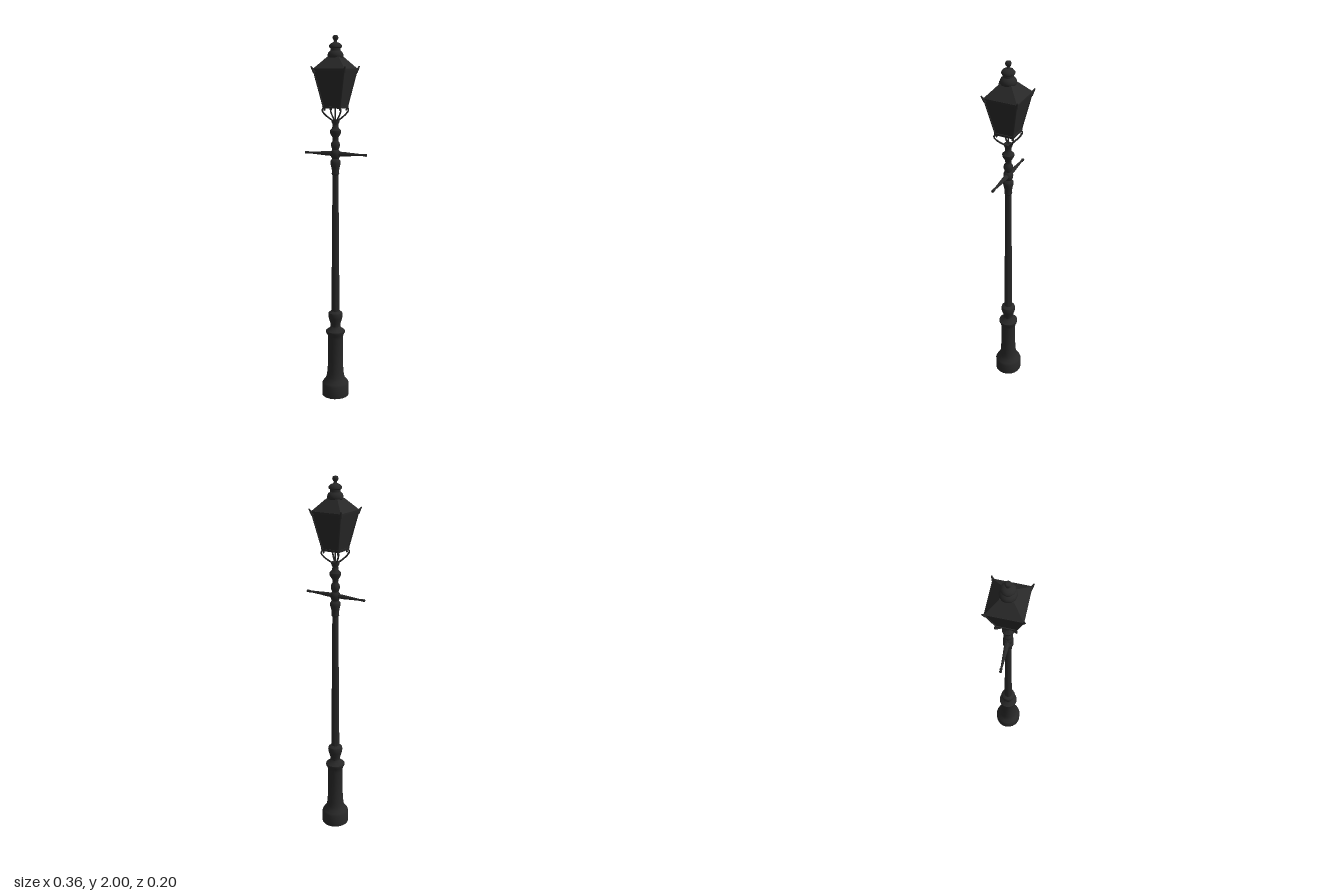
import * as THREE from 'three';
import { toCreasedNormals } from 'three/addons/utils/BufferGeometryUtils.js';

const iron = new THREE.MeshStandardMaterial({ color: 0x282828 });
iron.name = 'blackIron';

function add(parent, name, geometry) {
  const mesh = new THREE.Mesh(geometry, iron);
  mesh.name = name;
  parent.add(mesh);
  return mesh;
}

// Turned part from [radius, height] pairs
function turned(points, sides = 16) {
  const lathe = new THREE.LatheGeometry(points.map(([r, y]) => new THREE.Vector2(r, y)), sides);
  return toCreasedNormals(lathe, 0.7);
}

// Square frustum given half widths and heights
function frustum(bottom, top, y0, y1) {
  const g = new THREE.CylinderGeometry(top * Math.SQRT2, bottom * Math.SQRT2, y1 - y0, 4);
  g.rotateY(Math.PI / 4);
  g.translate(0, (y0 + y1) / 2, 0);
  return toCreasedNormals(g, 0.3);
}

// Tapered rod between two points
function rod(a, b, ra, rb, sides = 6) {
  const dir = new THREE.Vector3().subVectors(b, a);
  const g = new THREE.CylinderGeometry(rb, ra, dir.length(), sides);
  g.applyQuaternion(new THREE.Quaternion().setFromUnitVectors(new THREE.Vector3(0, 1, 0), dir.normalize()));
  const mid = a.clone().add(b).multiplyScalar(0.5);
  return g.translate(mid.x, mid.y, mid.z);
}

export function createModel() {
  const model = new THREE.Group();
  model.name = 'streetLamp';
  const lamp = new THREE.Group();
  lamp.name = 'lampPost';
  lamp.position.set(-0.003, 0, 0);
  model.add(lamp);

  // Pedestal and lower collar
  add(lamp, 'pedestal', turned([
    [0, 0], [0.076, 0], [0.076, 0.068], [0.07, 0.08], [0.056, 0.095], [0.05, 0.115],
    [0.046, 0.14], [0.042, 0.21], [0.042, 0.34], [0.045, 0.362], [0.053, 0.375],
    [0.053, 0.386], [0.036, 0.398], [0.027, 0.412], [0.029, 0.43], [0.038, 0.46],
    [0.041, 0.478], [0.038, 0.492], [0.023, 0.503]], 20));

  // Tapered shaft
  add(lamp, 'shaft', turned([[0.023, 0.5], [0.016, 1.285]], 12));

  // Upper mouldings
  add(lamp, 'upperCollar', turned([
    [0.016, 1.27], [0.021, 1.276], [0.019, 1.29], [0.022, 1.31], [0.028, 1.333],
    [0.027, 1.347], [0.018, 1.358], [0.024, 1.37], [0.026, 1.385], [0.024, 1.398],
    [0.017, 1.407], [0.024, 1.425], [0.023, 1.443], [0.015, 1.455], [0.016, 1.472],
    [0.03, 1.495], [0.031, 1.508], [0.018, 1.522], [0.015, 1.54], [0.021, 1.552],
    [0.022, 1.566], [0, 1.568]], 14));

  // Ladder rest: two tapered arms with knobbed ends
  const ladderRest = new THREE.Group();
  ladderRest.name = 'ladderRest';
  ladderRest.position.y = 1.385;
  lamp.add(ladderRest);
  for (const side of [-1, 1]) {
    const arm = add(ladderRest, side > 0 ? 'leftArm' : 'rightArm', turned([
      [0.013, 0], [0.012, 0.05], [0.009, 0.09], [0.005, 0.155], [0.008, 0.163],
      [0.005, 0.169], [0.008, 0.174], [0.007, 0.179], [0, 0.18]], 8));
    arm.rotation.z = -side * Math.PI / 2;
  }

  // Lantern body, floor frame and hipped roof
  const lantern = new THREE.Group();
  lantern.name = 'lantern';
  lamp.add(lantern);
  add(lantern, 'lanternPanes', frustum(0.047, 0.087, 1.632, 1.828));
  add(lantern, 'floorFrame', frustum(0.051, 0.053, 1.626, 1.638));
  add(lantern, 'eaves', frustum(0.089, 0.09, 1.82, 1.829));
  add(lantern, 'roof', frustum(0.089, 0.033, 1.828, 1.889));
  add(lantern, 'burnerPipe', rod(new THREE.Vector3(0, 1.56, 0), new THREE.Vector3(0, 1.63, 0), 0.004, 0.004));

  // Vent cap and finial
  add(lantern, 'ventCap', turned([
    [0.034, 1.88], [0.041, 1.888], [0.042, 1.899], [0.037, 1.912], [0.027, 1.921],
    [0.026, 1.932], [0.034, 1.938], [0.034, 1.946], [0.025, 1.957], [0.01, 1.963],
    [0.007, 1.97], [0.013, 1.977], [0.016, 1.986], [0.012, 1.996], [0, 2]], 12));

  // Corner ribs, eave horns and scroll brackets, one set on each diagonal
  const profile = [[0.018, 1.563], [0.03, 1.571], [0.049, 1.585], [0.064, 1.599], [0.073, 1.612],
    [0.073, 1.622], [0.065, 1.626], [0.06, 1.62], [0.064, 1.614]];
  const scroll = new THREE.CatmullRomCurve3(profile.map(([r, y]) => new THREE.Vector3(r, y, 0)));
  for (let i = 0; i < 4; i++) {
    const corner = new THREE.Group();
    corner.name = 'corner' + (i + 1);
    corner.rotation.y = Math.PI / 4 + i * Math.PI / 2;
    lantern.add(corner);
    const at = (r, y) => new THREE.Vector3(r, y, 0);
    add(corner, 'rib', rod(at(0.067, 1.63), at(0.123, 1.826), 0.004, 0.004));
    add(corner, 'eaveHorn', rod(at(0.116, 1.812), at(0.136, 1.842), 0.01, 0.003));
    add(corner, 'scrollBracket', new THREE.TubeGeometry(scroll, 24, 0.0045, 6));
  }
  return model;
}
